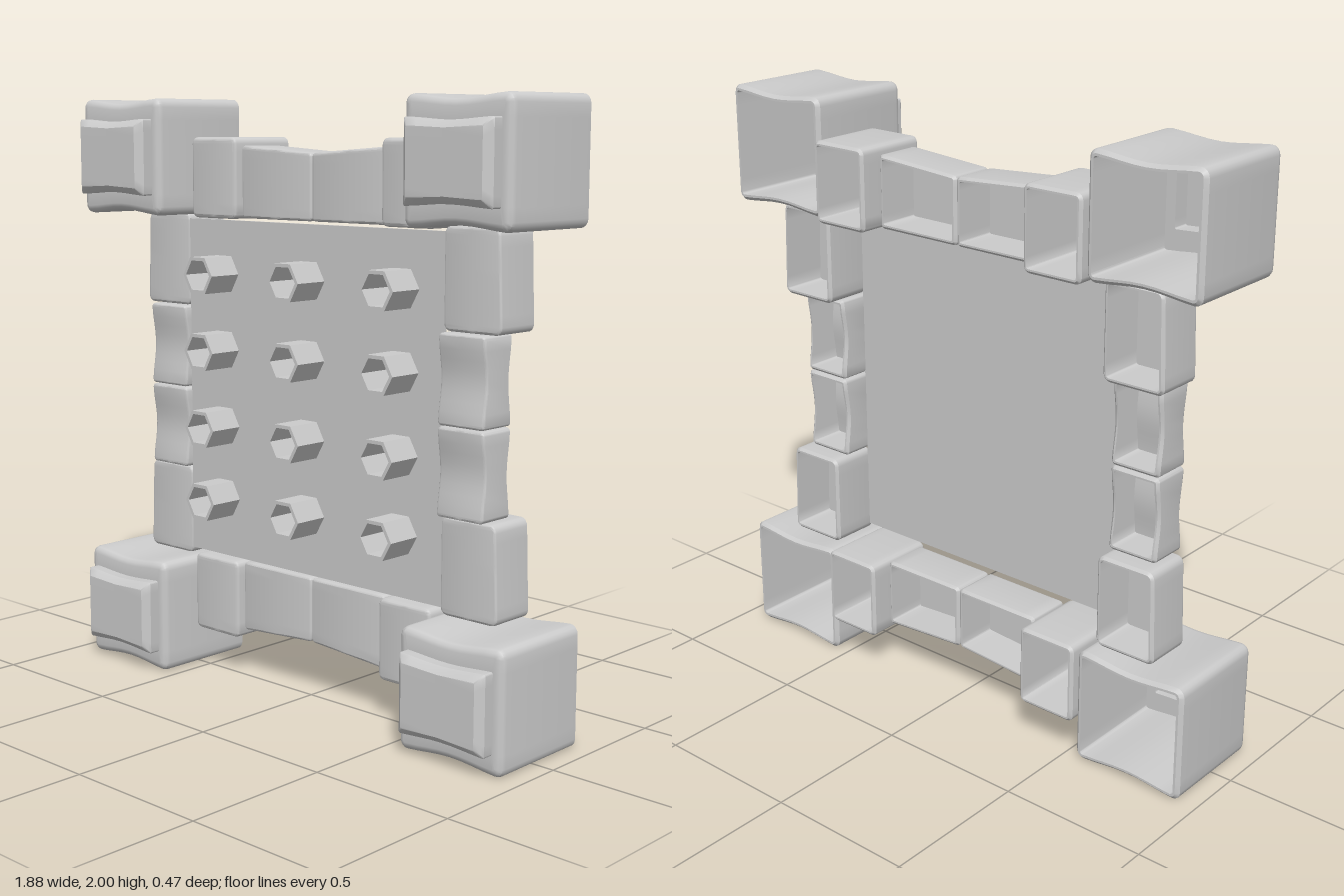
import * as THREE from 'three';
import { toCreasedNormals } from 'three/addons/utils/BufferGeometryUtils.js';

const material = new THREE.MeshStandardMaterial({ color: 0xcccccc });
const STEPS = 8; // subdivisions per straight edge
const ARC = 4;   // subdivisions per rounded corner

// Counter-clockwise rounded rectangle, centred on the origin
function outline(hw, hh, r) {
  const pts = [];
  const corners = [[1, 1], [-1, 1], [-1, -1], [1, -1]];
  corners.forEach(([sx, sy], q) => {
    for (let i = 0; i <= ARC; i++) {
      const a = (q + i / ARC) * Math.PI / 2;
      pts.push([sx * (hw - r) + r * Math.cos(a), sy * (hh - r) + r * Math.sin(a)]);
    }
    const [nx, ny] = corners[(q + 1) % 4];
    const a = (q + 1) * Math.PI / 2;
    const from = pts[pts.length - 1];
    const to = [nx * (hw - r) + r * Math.cos(a), ny * (hh - r) + r * Math.sin(a)];
    for (let i = 1; i < STEPS; i++) {
      const t = i / STEPS;
      pts.push([from[0] + (to[0] - from[0]) * t, from[1] + (to[1] - from[1]) * t]);
    }
  });
  return pts;
}

// Skin a list of rings [insetX, insetY, z, flat] into one closed shell.
// A flat ring is squeezed to a vertical line, which closes a face.
function shell(name, [x0, x1], [y0, y1], radius, rings, warp) {
  const cx = (x0 + x1) / 2, cy = (y0 + y1) / 2;
  const hw = Math.abs(x1 - x0) / 2, hh = (y1 - y0) / 2;
  const loops = rings.map(([ix, iy, z, flat]) =>
    outline(hw - ix, hh - iy, Math.max(radius - Math.min(ix, iy), 0.006)).map(([x, y]) => {
      const p = new THREE.Vector3(cx + (flat ? 0 : x), cy + y, z);
      if (warp) warp(p, (p.x - cx) / hw, y / hh);
      return p;
    }));
  const pos = [];
  const tri = (a, b, c) => {
    if (new THREE.Triangle(a, b, c).getArea() > 1e-9) pos.push(...a, ...b, ...c);
  };
  for (let k = 0; k < loops.length - 1; k++) {
    const A = loops[k], B = loops[k + 1], n = A.length;
    for (let i = 0; i < n; i++) {
      const j = (i + 1) % n;
      tri(A[i], A[j], B[j]);
      tri(A[i], B[j], B[i]);
    }
  }
  const geo = new THREE.BufferGeometry();
  geo.setAttribute('position', new THREE.Float32BufferAttribute(pos, 3));
  const mesh = new THREE.Mesh(toCreasedNormals(geo, 0.6), material);
  mesh.name = name;
  return mesh;
}

// Rings of a hollow, open-backed block, from the inside of the front face
// round the back rim to the outside of the front face
function blockRings(zb, zf, bevel, t = 0.015) {
  const rings = [[t, t, zf - t, true], [t, t, zf - t], [t, t, zb], [t * 0.6, t * 0.6, zb], [0, 0, zb + t * 0.6]];
  for (let i = 0; i <= 3; i++) {
    const a = i / 3 * Math.PI / 2;
    const inset = bevel * (1 - Math.cos(a));
    rings.push([inset, inset, zf - bevel + bevel * Math.sin(a)]);
  }
  rings.push([bevel, bevel, zf, true]);
  return rings;
}

// Corner block with a hollow raised panel on its front
function cornerRings(zb, zf) {
  const t = 0.02, px = 0.035, py = 0.068;
  const body = blockRings(zb, zf, 0.025, t);
  return [
    [px + t, py + t, zf + 0.04, true], [px + t, py + t, zf + 0.04], [px + t, py + t, zf - t],
    ...body.slice(1, -1),
    [px, py, zf], [px, py, zf + 0.035], [px + 0.006, py + 0.006, zf + 0.042],
    [px + 0.024, py + 0.024, zf + 0.057], [px + 0.024, py + 0.024, zf + 0.057, true],
  ];
}

function hexagon(shape, r) {
  for (let i = 0; i < 6; i++) {
    const a = i * Math.PI / 3;
    shape[i ? 'lineTo' : 'moveTo'](r * Math.cos(a), r * Math.sin(a));
  }
  shape.closePath();
  return shape;
}

export function createModel() {
  const group = new THREE.Group();

  // Warps: dipped top and bottom, taper toward the middle, pinched depth, flared outer side
  const dip = (p, u, v) => { p.y -= v * 0.008 * (1 + Math.cos(Math.PI * u)); };
  const taper = (dir) => (p, u, v) => {
    p.y -= dir * 0.022 * Math.max(0, 1 - Math.abs(p.x) / 0.32) * (dir * v + 1) / 2;
  };
  const pinch = (p, u, v) => {
    p.z = -0.03 + (p.z + 0.03) * (1 - 0.11 * (1 + Math.cos(Math.PI * v)));
  };
  const flare = (s) => (p, u, v) => { p.x -= s * 0.006 * (1 + v) * (1 + s * u) / 2; };

  for (const s of [-1, 1]) {
    const side = s > 0 ? 'left' : 'right';

    // Corner blocks
    for (const [y, level] of [[0, 'Bottom'], [1.605, 'Top']])
      group.add(shell(side + level + 'CornerBlock', [s * 0.54, s * 0.94], [y, y + 0.395], 0.03,
        cornerRings(-0.21, 0.18), dip));

    // Top and bottom rows
    for (const [end, mid, dir, level] of [
      [[1.597, 1.87], [1.6, 1.843], 1, 'top'],
      [[0.137, 0.41], [0.164, 0.408], -1, 'bottom'],
    ]) {
      group.add(shell(level + 'RowOuterBlock', [s * 0.325, s * 0.54], end, 0.022,
        blockRings(-0.235, 0.03, 0.012)));
      group.add(shell(level + 'RowInnerBlock', [s * 0.001, s * 0.324], mid, 0.014,
        blockRings(-0.16, 0, 0.008), taper(dir)));
    }

    // Side columns
    for (const y of [[1.29, 1.61], [0.4, 0.715]])
      group.add(shell(side + 'ColumnOuterBlock', [s * 0.568, s * 0.79], y, 0.025,
        blockRings(-0.155, 0.015, 0.008), flare(s)));
    for (const y of [[1.003, 1.288], [0.717, 1.0]])
      group.add(shell(side + 'ColumnInnerBlock', [s * 0.568, s * 0.748], y, 0.014,
        blockRings(-0.1, 0.04, 0.008), pinch));
  }

  // Back board
  const board = new THREE.Mesh(new THREE.BoxGeometry(1.14, 1.17, 0.01), material);
  board.position.set(0, 1.007, 0.007);
  board.name = 'board';
  group.add(board);

  // Hexagonal tubes standing on the board
  const hex = hexagon(new THREE.Shape(), 0.07);
  hex.holes.push(hexagon(new THREE.Path(), 0.057));
  const tubeGeo = new THREE.ExtrudeGeometry(hex, { depth: 0.133, bevelEnabled: false });
  for (const x of [-0.4, 0, 0.4])
    for (const y of [0.63, 0.885, 1.15, 1.41]) {
      const tube = new THREE.Mesh(tubeGeo, material);
      tube.position.set(x, y, 0.003);
      tube.name = 'hexTube';
      group.add(tube);
    }

  return group;
}
